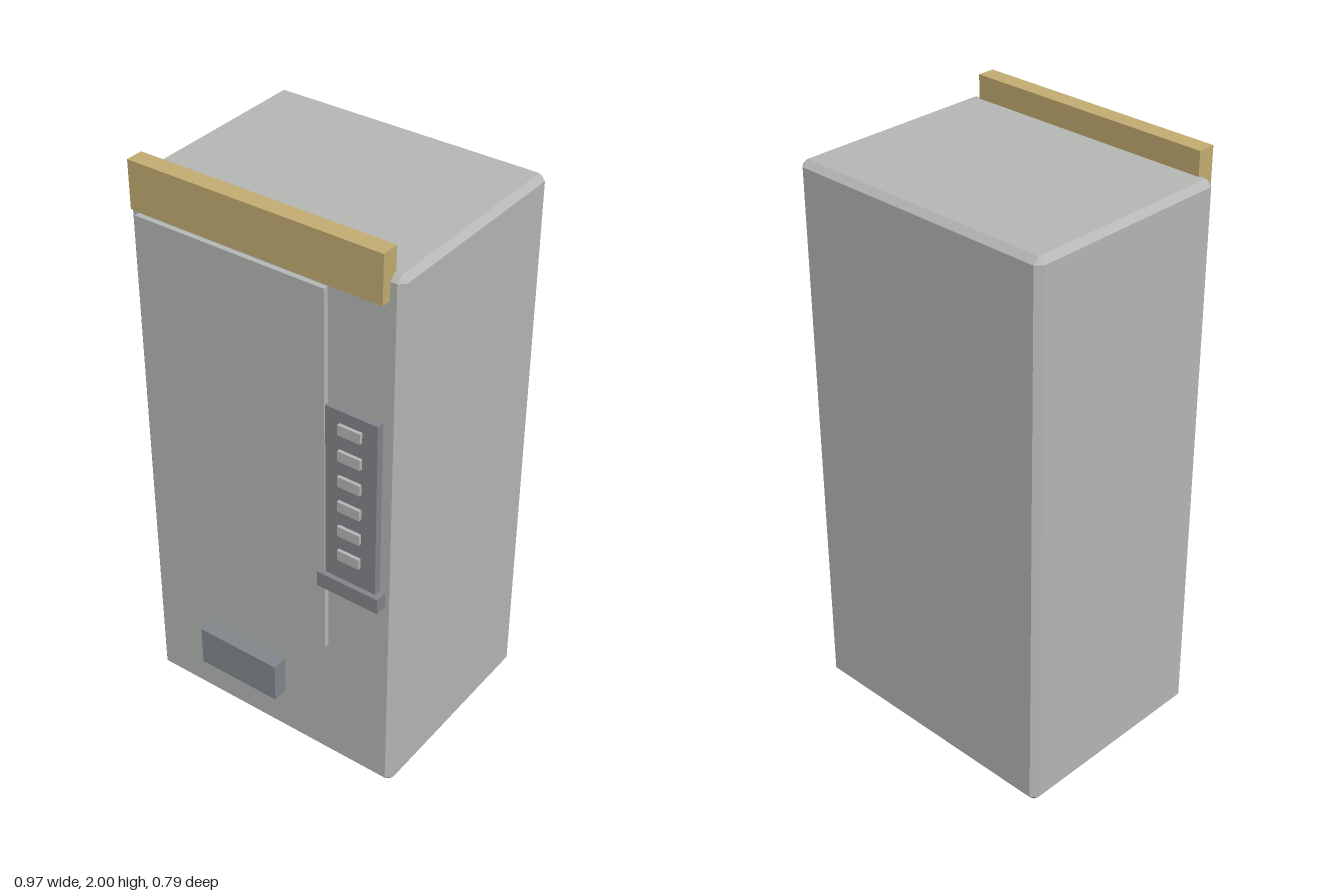
import * as THREE from 'three';
import { ConvexGeometry } from 'three/addons/geometries/ConvexGeometry.js';

const material = (name, color) => {
  const m = new THREE.MeshStandardMaterial({ color });
  m.name = name;
  return m;
};

// Box given by its limits on each axis
function box(name, mat, [x0, x1], [y0, y1], [z0, z1]) {
  const mesh = new THREE.Mesh(new THREE.BoxGeometry(x1 - x0, y1 - y0, z1 - z0), mat);
  mesh.position.set((x0 + x1) / 2, (y0 + y1) / 2, (z0 + z1) / 2);
  mesh.name = name;
  return mesh;
}

// Box with every edge cut by a flat chamfer
function chamferedBox(w, h, d, c) {
  const points = [];
  for (const x of [-1, 1]) for (const y of [-1, 1]) for (const z of [-1, 1]) {
    const X = w / 2, Y = h / 2, Z = d / 2;
    points.push(
      new THREE.Vector3(x * X, y * (Y - c), z * (Z - c)),
      new THREE.Vector3(x * (X - c), y * Y, z * (Z - c)),
      new THREE.Vector3(x * (X - c), y * (Y - c), z * Z),
    );
  }
  return new ConvexGeometry(points);
}

export function createModel() {
  const model = new THREE.Group();
  model.name = 'vendingMachine';

  const grey = material('cabinet grey', 0xb5b8b4);
  const dark = material('control grey', 0x84868c);
  const slate = material('tray slate', 0x82888e);
  const gold = material('sign gold', 0xc4ad72);

  // Cabinet
  const front = 0.343, back = -0.397;
  const cabinet = new THREE.Mesh(chamferedBox(0.97, 1.92, front - back, 0.02), grey);
  cabinet.position.set(0, 0.96, (front + back) / 2);
  cabinet.name = 'cabinet';
  model.add(cabinet);

  // Front fittings
  model.add(
    box('topSign', gold, [-0.443, 0.443], [1.84, 2], [0.316, 0.376]),
    box('displayPanel', grey, [-0.435, 0.245], [0.5, 1.82], [0.353, 0.371]),
    box('dispenserTray', slate, [-0.248, 0.06], [0.18, 0.325], [0.335, 0.397]),
    box('buttonPanel', dark, [0.247, 0.43], [0.81, 1.435], [0.335, 0.369]),
    box('coinLedge', dark, [0.226, 0.451], [0.76, 0.815], [0.335, 0.386]),
  );

  // Column of selection buttons
  const buttons = new THREE.Group();
  buttons.name = 'buttons';
  for (let i = 0; i < 6; i++) {
    const y = 0.911 + i * 0.0928;
    buttons.add(box('button', grey, [0.297, 0.377], [y - 0.018, y + 0.018], [0.36, 0.38]));
  }
  model.add(buttons);

  return model;
}
